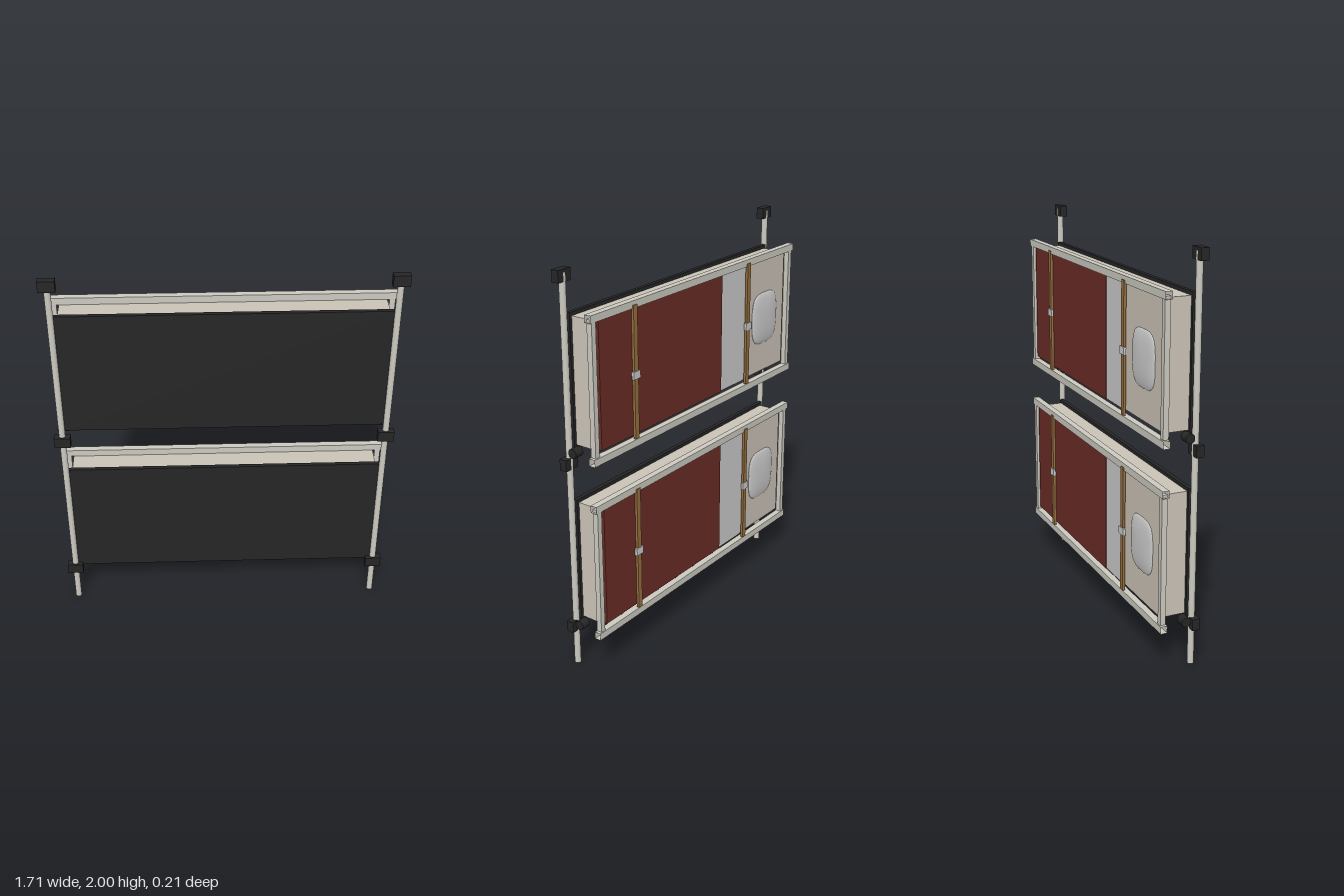
import * as THREE from 'three';

const mat = (color) => new THREE.MeshStandardMaterial({ color });
const steel = mat(0xcccac0);
const black = mat(0x262626);
const panMat = mat(0xcbc4b8);
const sheetMat = mat(0xcccccc);
const blanketMat = mat(0x6b2d26);
const strapMat = mat(0x96703f);
const railMat = mat(0xcccac0);
railMat.side = THREE.DoubleSide;

function add(parent, name, geometry, material, x = 0, y = 0, z = 0) {
  const mesh = new THREE.Mesh(geometry, material);
  mesh.name = name;
  mesh.position.set(x, y, z);
  parent.add(mesh);
  return mesh;
}

// Box given by its lower and upper limits on each axis
function box(parent, name, material, [x0, x1], [y0, y1], [z0, z1]) {
  return add(parent, name, new THREE.BoxGeometry(x1 - x0, y1 - y0, z1 - z0), material,
    (x0 + x1) / 2, (y0 + y1) / 2, (z0 + z1) / 2);
}

// Square tube along x with open ends
function openRail(parent, name, y, z, length, height, depth) {
  const g = new THREE.CylinderGeometry(Math.SQRT1_2, Math.SQRT1_2, 1, 4, 1, true);
  g.rotateY(Math.PI / 4);
  g.rotateZ(Math.PI / 2);
  g.scale(length, height, depth);
  const flat = g.toNonIndexed();
  flat.computeVertexNormals();
  return add(parent, name, flat, railMat, 0, y, z);
}

// Soft pillow: a sphere squared off in outline and flattened
function pillowGeometry(halfW, halfH, thickness) {
  const g = new THREE.SphereGeometry(1, 32, 24);
  const p = g.attributes.position;
  for (let i = 0; i < p.count; i++) {
    const x = p.getX(i), y = p.getY(i), z = p.getZ(i);
    const r = Math.hypot(x, y);
    const k = r > 1e-6 ? r / Math.pow(Math.pow(Math.abs(x), 3.5) + Math.pow(Math.abs(y), 3.5), 1 / 3.5) : 1;
    p.setXYZ(i, x * k * halfW, y * k * halfH, z * thickness);
  }
  g.computeVertexNormals();
  return g;
}

// One folded-up berth, measured from the centre of its height
function createBerth() {
  const berth = new THREE.Group();
  berth.name = 'berth';

  // Outer face and the pan behind it
  box(berth, 'facePanel', black, [-0.8, 0.8], [-0.329, 0.329], [0.057, 0.078]);
  box(berth, 'pan', panMat, [-0.785, 0.785], [-0.306, 0.312], [-0.072, 0.057]);

  // Bedding
  box(berth, 'mattress', panMat, [-0.772, 0.772], [-0.3, 0.306], [-0.077, -0.07]);
  box(berth, 'sheet', sheetMat, [-0.39, -0.17], [-0.303, 0.309], [-0.08, -0.07]);
  box(berth, 'blanket', blanketMat, [-0.18, 0.774], [-0.304, 0.31], [-0.085, -0.07]);
  add(berth, 'pillow', pillowGeometry(0.118, 0.14, 0.018), sheetMat, -0.59, -0.005, -0.077);

  // Frame of open rails and end posts
  openRail(berth, 'topRail', 0.331, -0.077, 1.674, 0.036, 0.034);
  openRail(berth, 'bottomRail', -0.346, -0.077, 1.674, 0.036, 0.034);
  for (const s of [-1, 1]) {
    add(berth, 'endPost', new THREE.BoxGeometry(0.028, 0.652, 0.028), steel, s * 0.811, 0.001, -0.077);
    // Pivot between berth and pole
    const pivot = add(berth, 'pivot', new THREE.CylinderGeometry(0.024, 0.024, 0.05, 24), black,
      s * 0.811, -0.331, 0.041);
    pivot.rotation.z = Math.PI / 2;
  }

  // Safety straps with buckles
  for (const x of [-0.403, 0.53]) {
    box(berth, 'strap', strapMat, [x - 0.014, x + 0.014], [-0.322, 0.329], [-0.099, -0.086]);
    box(berth, 'buckle', sheetMat, [x - 0.025, x + 0.025], [-0.024, 0.014], [-0.103, -0.09]);
  }
  return berth;
}

export function createModel() {
  const model = new THREE.Group();
  model.name = 'foldingBunks';

  // Poles with clamps
  for (const s of [-1, 1]) {
    add(model, 'pole', new THREE.CylinderGeometry(0.016, 0.016, 1.985, 24), steel, s * 0.815, 0.9925, 0.078);
    for (const y of [0.217, 1.08, 1.972]) {
      add(model, 'clamp', new THREE.BoxGeometry(0.082, 0.057, 0.039), black, s * 0.815, y, 0.083);
    }
  }

  // Two berths, one above the other
  for (const y of [0.559, 1.472]) {
    const berth = createBerth();
    berth.position.y = y;
    model.add(berth);
  }
  return model;
}
